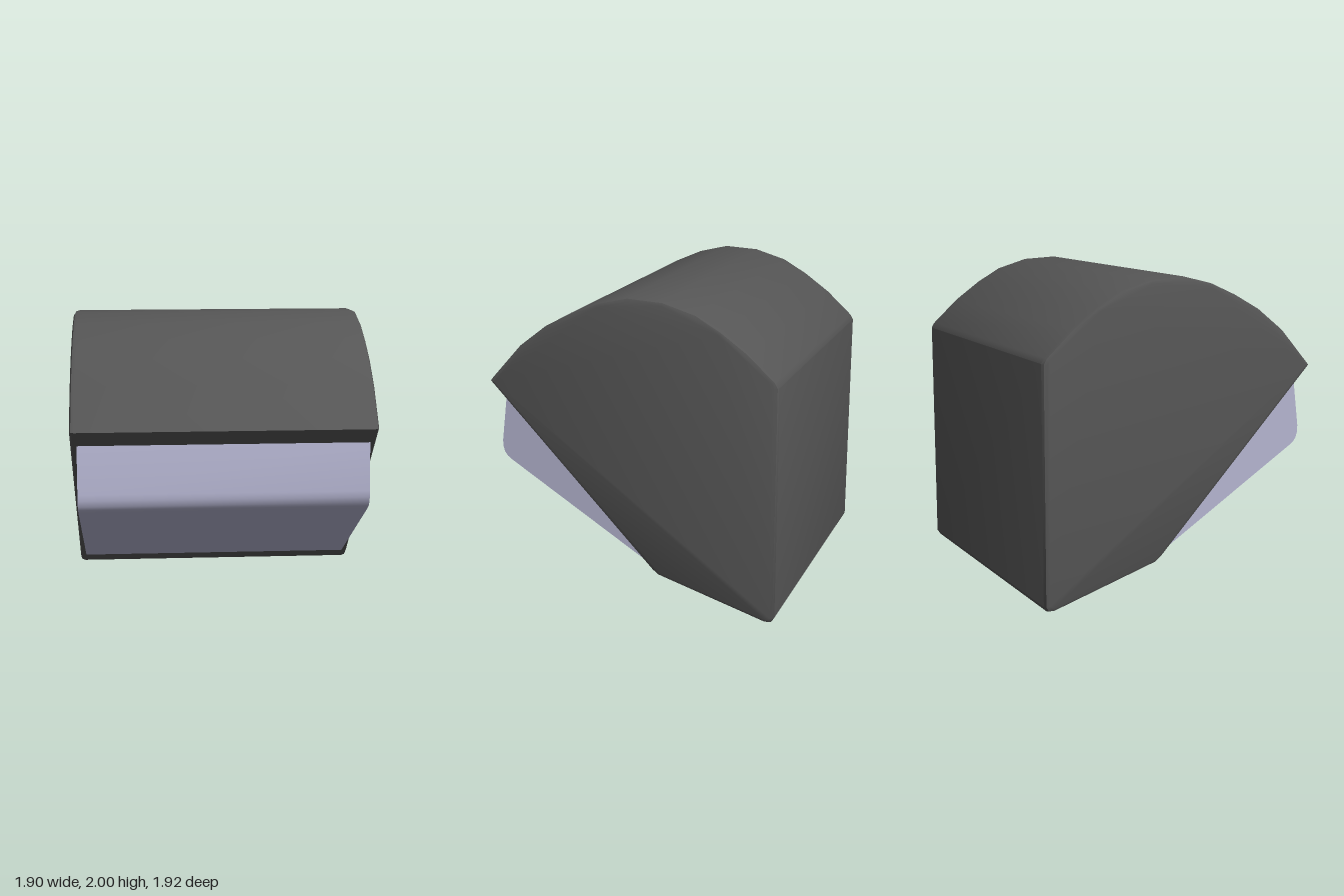
import * as THREE from 'three';
import { toCreasedNormals } from 'three/addons/utils/BufferGeometryUtils.js';

// Extrude a side profile of [z, y] points along x, centred, to a full width
function sideExtrude(name, profile, width, color, bevel) {
  const shape = new THREE.Shape(profile.map(([z, y]) => new THREE.Vector2(z, y)));
  const thick = bevel ? 0.03 : 0;
  const depth = width - 2 * thick;
  const geo = new THREE.ExtrudeGeometry(shape, {
    depth, bevelEnabled: bevel, bevelThickness: thick,
    bevelSize: 0.025, bevelOffset: -0.025, bevelSegments: 2,
  });
  geo.translate(0, 0, -depth / 2);
  geo.rotateY(-Math.PI / 2);
  const mesh = new THREE.Mesh(
    toCreasedNormals(geo, 0.55),
    new THREE.MeshStandardMaterial({ color })
  );
  mesh.name = name;
  return mesh;
}

export function createModel() {
  const group = new THREE.Group();
  group.name = 'wallLamp';

  // Housing: domed top, flat back, sloped underside and slanted front opening
  const housing = [
    [0.96, 1.385], [0.74, 1.63], [0.56, 1.77], [0.38, 1.87], [0.2, 1.95],
    [0, 2], [-0.23, 1.99], [-0.44, 1.93], [-0.6, 1.84], [-0.77, 1.72],
    [-0.94, 1.565], [-0.96, 1.53], [-0.96, 0.04], [-0.94, 0.008], [-0.9, 0.005],
    [-0.19, 0.21], [-0.15, 0.24],
  ];
  group.add(sideExtrude('housing', housing, 1.9, 0x555555, true));

  // Lens: wedge with a rounded lower front edge, its back sunk into the housing
  const lens = [
    [0.85, 1.34], [0.86, 1.28], [0.9, 0.98], [0.9, 0.94], [0.888, 0.9],
    [0.87, 0.875], [0.835, 0.85], [-0.13, 0.265], [-0.13, 0.36],
  ];
  group.add(sideExtrude('lens', lens, 1.82, 0xb4b4d0, false));

  return group;
}
